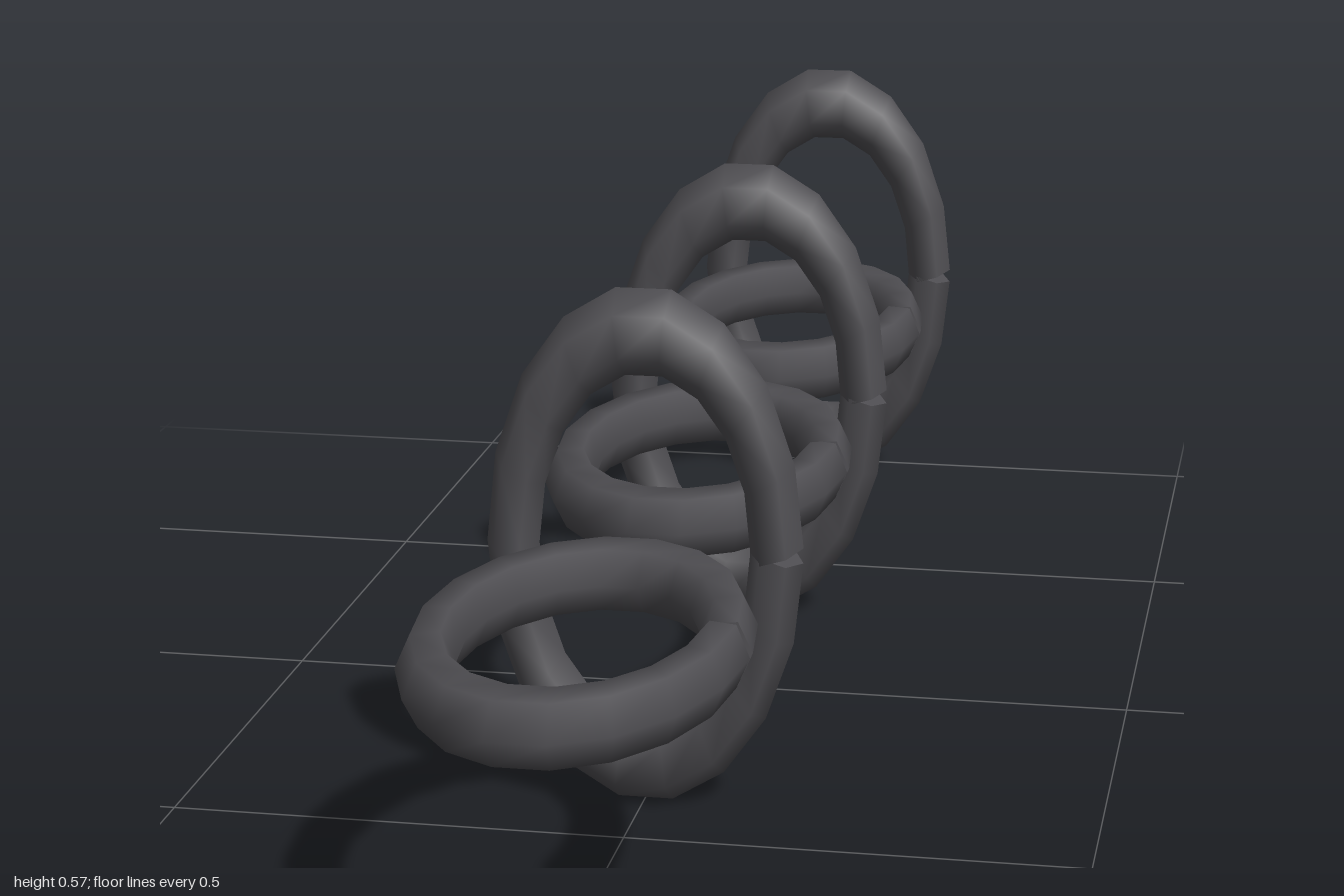
import * as THREE from 'three';

const SEGMENTS = 18, SIDES = 6;
const RING = 0.145, TUBE = 0.029;      // before stretching into an oval
const STRETCH = { x: 1, y: 1.675, z: 1.31 };

// One bent-bar link: a hexagonal tube whose two ends meet in a small V notch at +x
function linkGeometry() {
  const pos = [], index = [];
  const step = Math.PI * 2 / SEGMENTS;
  const addSection = (i) => {
    const a = i * step;
    // the end sections stand square to their own straight segment
    const tilt = i === 0 ? step / 2 : i === SEGMENTS ? -step / 2 : 0;
    const f = a + tilt;
    for (let j = 0; j < SIDES; j++) {
      const v = j / SIDES * Math.PI * 2, out = TUBE * Math.cos(v);
      pos.push(
        (RING * Math.cos(a) + out * Math.cos(f)) * STRETCH.x,
        (RING * Math.sin(a) + out * Math.sin(f)) * STRETCH.y,
        TUBE * Math.sin(v) * STRETCH.z);
    }
  };
  for (let i = 0; i <= SEGMENTS; i++) addSection(i);
  for (let i = 0; i < SEGMENTS; i++) {
    for (let j = 0; j < SIDES; j++) {
      const k = (j + 1) % SIDES;
      const a = i * SIDES + j, b = a + SIDES, c = (i + 1) * SIDES + k, d = i * SIDES + k;
      index.push(a, b, c, a, c, d);
    }
  }
  // flat end caps with their own corners
  for (const end of [0, SEGMENTS]) {
    const first = pos.length / 3;
    addSection(end);
    for (let j = 1; j < SIDES - 1; j++) {
      if (end === 0) index.push(first, first + j, first + j + 1);
      else index.push(first, first + j + 1, first + j);
    }
  }
  const g = new THREE.BufferGeometry();
  g.setAttribute('position', new THREE.Float32BufferAttribute(pos, 3));
  g.setIndex(index);
  g.computeVertexNormals();
  return g;
}

export function createModel() {
  const chain = new THREE.Group();
  chain.name = 'chain';
  const iron = new THREE.MeshStandardMaterial({ color: 0x4f4e52 });
  iron.name = 'dark iron';
  const geometry = linkGeometry();

  // Six links, alternately lying flat and standing upright
  for (let i = 0; i < 6; i++) {
    const flat = i % 2 === 0;
    const link = new THREE.Mesh(geometry, iron);
    link.name = (flat ? 'flatLink' : 'uprightLink') + (Math.floor(i / 2) + 1);
    link.position.set(0, 0.287, 0.713 - i * 0.336);
    if (flat) link.rotation.x = Math.PI / 2;
    chain.add(link);
  }
  return chain;
}
